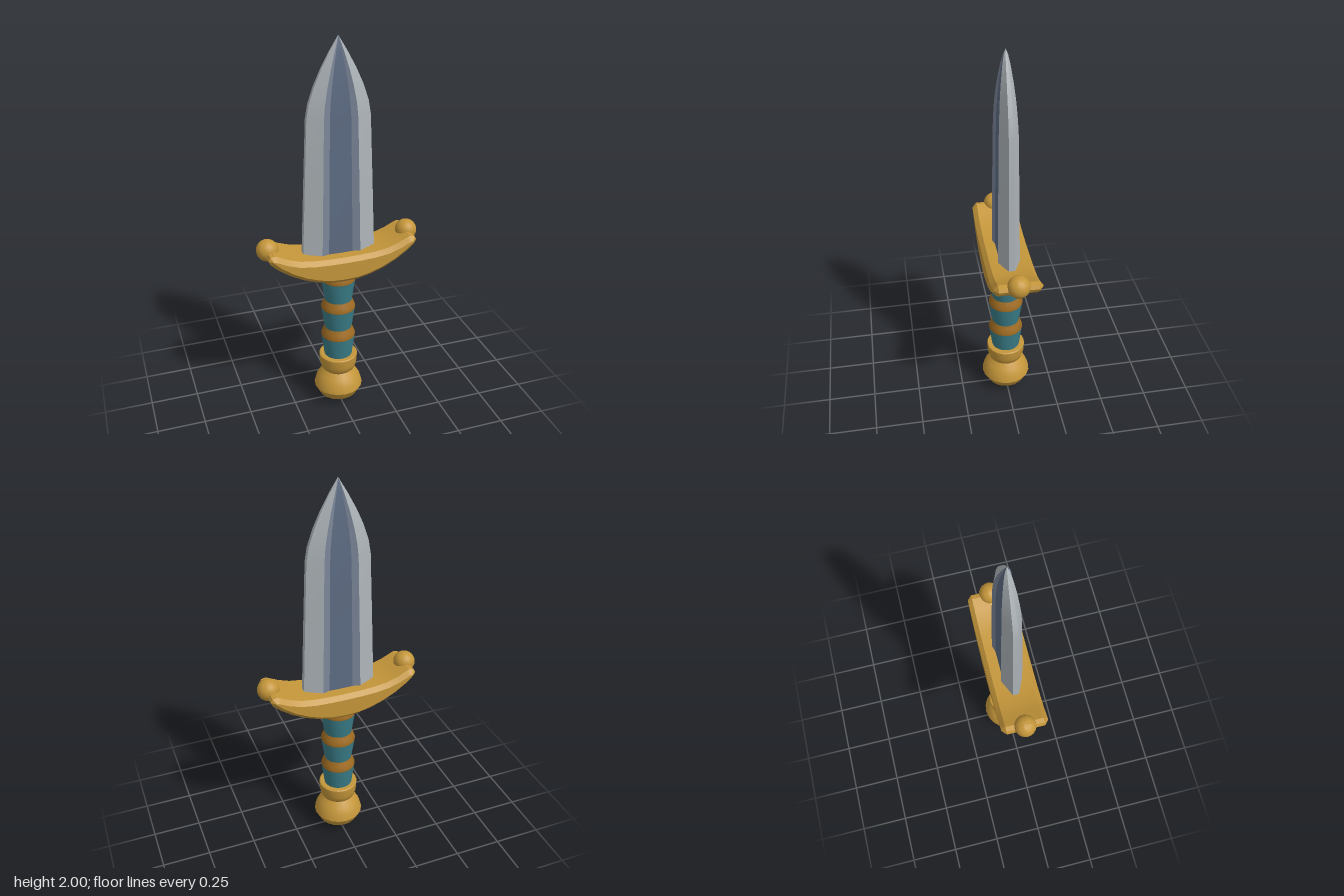
import * as THREE from 'three';
import { toCreasedNormals } from 'three/addons/utils/BufferGeometryUtils.js';

const mat = (name, color) => {
  const m = new THREE.MeshStandardMaterial({ color });
  m.name = name;
  return m;
};

export function createModel() {
  const group = new THREE.Group();
  const gold = mat('gold', 0xc4963a);
  const bronze = mat('bronze', 0xa06c22);
  const teal = mat('teal', 0x3a7d88);
  const steel = mat('steel', 0xadb4b8);
  const bevelSteel = mat('blue steel', 0x7b8698);
  const darkSteel = mat('dark blue steel', 0x5d6b82);

  const add = (name, geo, material, crease = 0.6) => {
    const mesh = new THREE.Mesh(toCreasedNormals(geo, crease), material);
    mesh.name = name;
    group.add(mesh);
    return mesh;
  };
  const lathe = (name, pts, material, crease) =>
    add(name, new THREE.LatheGeometry(pts.map(p => new THREE.Vector2(...p)), 20), material, crease);

  // Blade: twelve-sided sections with a shallow fuller on each face
  // [height, half width, half thickness]
  const levels = [
    [0.86, 0.192, 0.056], [1.25, 0.176, 0.052], [1.62, 0.16, 0.046], [1.69, 0.148, 0.043],
    [1.77, 0.121, 0.038], [1.85, 0.085, 0.03], [1.93, 0.042, 0.019], [1.975, 0.015, 0.01], [2, 0, 0],
  ];
  const section = ([y, w, t]) => {
    const front = [[1, 0.28], [0.53, 1], [0.33, 0.8], [-0.33, 0.8], [-0.53, 1], [-1, 0.28]];
    const back = front.map(([x, z]) => [-x, -z]);
    return [...front, ...back].map(([x, z]) => [x * w, y, z * t]);
  };
  const rings = levels.map(section);
  const strips = (sides) => {
    const pos = [];
    for (let i = 0; i < rings.length - 1; i++) {
      for (const k of sides) {
        const n = (k + 1) % 12;
        const a = rings[i][k], b = rings[i][n], c = rings[i + 1][k], d = rings[i + 1][n];
        pos.push(...a, ...c, ...b);
        if (i < rings.length - 2) pos.push(...b, ...c, ...d);
      }
    }
    const geo = new THREE.BufferGeometry();
    geo.setAttribute('position', new THREE.Float32BufferAttribute(pos, 3));
    return geo;
  };
  add('bladeEdges', strips([0, 4, 5, 6, 10, 11]), steel, 0.35);
  add('fullerSlopes', strips([1, 3, 7, 9]), bevelSteel, 0.35);
  add('fullerFloors', strips([2, 8]), darkSteel, 0.35);

  // Crossguard: upswept crescent, bevelled front and back
  const half = [
    [0.07, 0.782], [0.14, 0.797], [0.21, 0.822], [0.28, 0.858], [0.34, 0.9], [0.38, 0.937],
    [0.388, 0.957], [0.378, 0.975], [0.355, 0.98], [0.335, 0.972], [0.29, 0.95],
    [0.23, 0.93], [0.16, 0.92], [0.08, 0.916],
  ];
  const outline = [[0, 0.778], ...half, [0, 0.915], ...half.map(([x, y]) => [-x, y]).reverse()];
  const bevel = 0.022;
  const guard = new THREE.ExtrudeGeometry(
    new THREE.Shape(outline.map(p => new THREE.Vector2(...p))),
    { depth: 0.24 - 2 * bevel, bevelThickness: bevel, bevelSize: bevel, bevelOffset: -bevel, bevelSegments: 1 });
  guard.translate(0, 0, -0.12 + bevel);
  add('crossguard', guard, gold, 0.5);

  // Ball finials on the guard tips
  for (const s of [-1, 1]) {
    add(s > 0 ? 'leftFinial' : 'rightFinial', new THREE.SphereGeometry(0.056, 20, 14), gold)
      .position.set(s * 0.37, 0.97, 0);
  }

  // Grip: flared segments, each topped by a band
  const grips = [[0.27, 0.405, 0.46], [0.46, 0.575, 0.627], [0.627, 0.745, 0.8]];
  grips.forEach(([y0, y1, y2], i) => {
    lathe('gripSegment' + (i + 1), [[0.073, y0], [0.09, y1]], teal);
    lathe('gripBand' + (i + 1),
      [[0.09, y1], [0.091, y1 + 0.008], [0.082, y1 + 0.03], [0.073, y2]], bronze);
  });

  // Collar below the grip
  lathe('collar', [[0, 0.185], [0.074, 0.185], [0.09, 0.2], [0.1, 0.232], [0.103, 0.283], [0.098, 0.287], [0, 0.287]], gold);

  // Pommel: faceted ball with a flattened base
  lathe('pommel', [[0, 0], [0.065, 0.01], [0.106, 0.042], [0.131, 0.09], [0.122, 0.125],
    [0.102, 0.16], [0.078, 0.185], [0.07, 0.195], [0, 0.195]], gold);

  return group;
}
